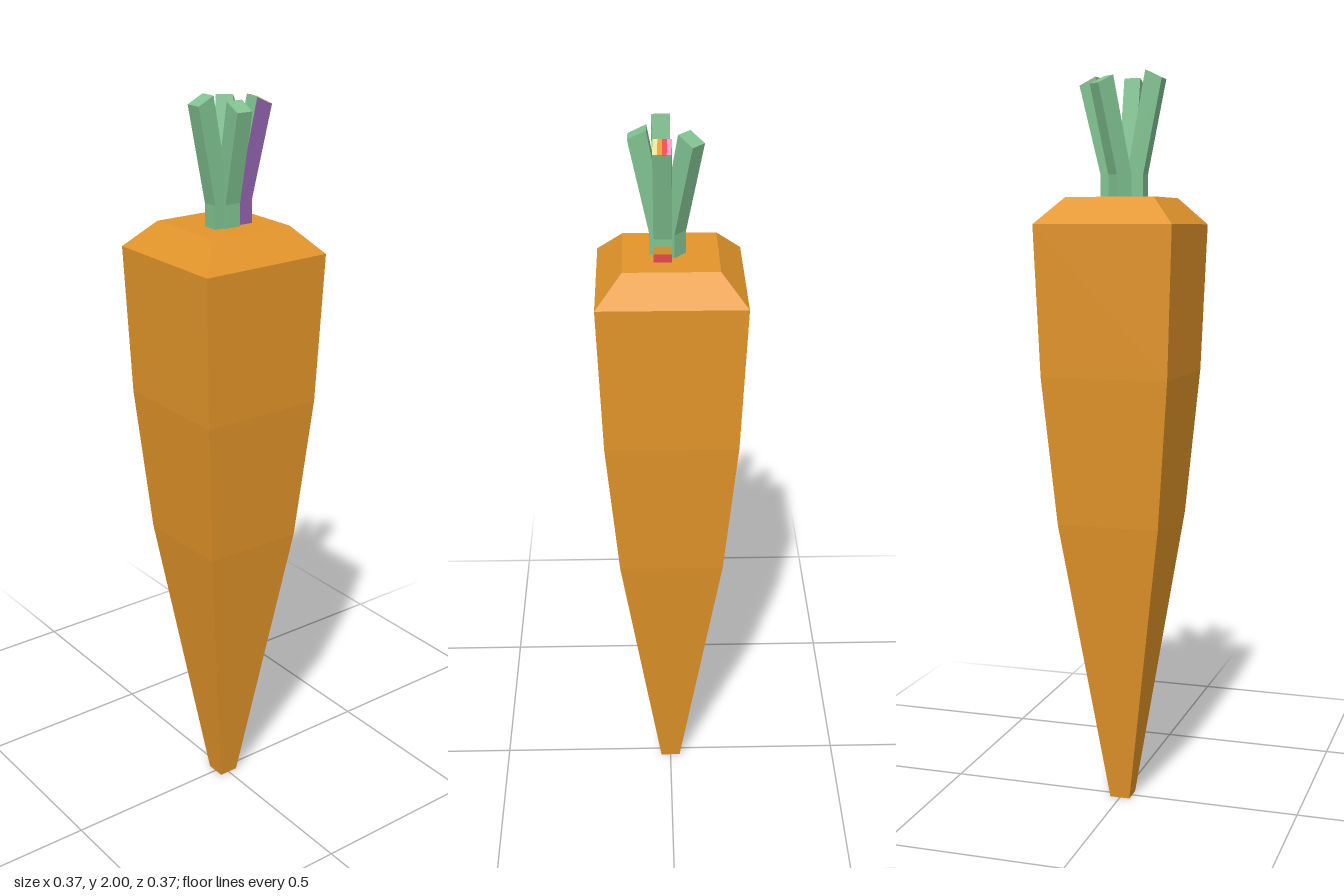
import * as THREE from 'three';

const mat = (name, color) => {
  const m = new THREE.MeshStandardMaterial({ color });
  m.name = name;
  return m;
};

// Split the faces so every facet is flat
const flat = (geometry) => {
  const g = geometry.toNonIndexed();
  g.computeVertexNormals();
  return g;
};

const part = (name, geometry, material) => {
  const mesh = new THREE.Mesh(flat(geometry), material);
  mesh.name = name;
  return mesh;
};

const WIDTH = 0.045, CROWN = 1.67, BEND = 1.73;

// Box in unit coordinates (x across, y along, z outward), moved by a rule
function mappedBox(x0, x1, y0, y1, z0, z1, rule) {
  const g = new THREE.BoxGeometry(x1 - x0, y1 - y0, z1 - z0);
  g.translate((x0 + x1) / 2, (y0 + y1) / 2, (z0 + z1) / 2);
  const p = g.attributes.position;
  for (let i = 0; i < p.count; i++) {
    p.setXYZ(i, ...rule(p.getX(i), p.getY(i), p.getZ(i)));
  }
  return g;
}

// Short upright foot
const footRule = (x, y, z) => [x * WIDTH, CROWN - 0.01 + y * (BEND - CROWN + 0.01), z * WIDTH];

// Shoot leaning outward, its tip sloping down on the outside
const shootRule = (lean, tip) => (x, y, z) =>
  [x * WIDTH, BEND + y * (tip - 0.011 - 0.022 * z - BEND), z * WIDTH + y * lean];

export function createModel() {
  const model = new THREE.Group();
  model.name = 'carrot';

  const orange = mat('carrot orange', 0xe3952a);
  const green = mat('stem green', 0x80c290);
  const purple = mat('purple', 0x8e62ab);
  const pink = mat('pink', 0xe598bf);
  const red = mat('red', 0xe84850);
  const amber = mat('amber', 0xf0a030);
  const yellow = mat('pale yellow', 0xe8e092);

  // Square tapering root with a bevelled crown
  const profile = [
    [0, 0], [0.028, 0], [0.14, 0.8], [0.173, 1.2], [0.187, 1.6], [0.12, CROWN], [0, CROWN],
  ].map(([half, y]) => new THREE.Vector2(half * Math.SQRT2, y));
  model.add(part('root', new THREE.LatheGeometry(profile, 4, Math.PI / 4), orange));

  // Four stems: foot position, outward yaw, lean and tip height
  const stems = [
    { name: 'frontStem', x: 0.022, z: 0.034, yaw: 0, lean: 0.05, tip: 2.0 },
    { name: 'leftStem', x: 0.03, z: 0.008, yaw: Math.PI / 2 - 0.03, lean: 0.05, tip: 1.985 },
    { name: 'backStem', x: 0.019, z: -0.038, yaw: Math.PI - 0.04, lean: 0.059, tip: 1.985, painted: true },
    { name: 'rightStem', x: -0.007, z: -0.006, yaw: -2.3, lean: 0.056, tip: 1.985 },
  ];

  for (const s of stems) {
    const stem = new THREE.Group();
    stem.name = s.name;
    stem.position.set(s.x, 0, s.z);
    stem.rotation.y = s.yaw;
    const rule = shootRule(s.lean, s.tip);
    const skin = s.painted ? [green, purple, green, green, green, green] : green;
    stem.add(part('foot', mappedBox(-0.5, 0.5, 0, 1, -0.5, 0.5, footRule), skin));
    stem.add(part('shoot', mappedBox(-0.5, 0.5, 0, 1, -0.5, 0.5, rule), skin));

    if (s.painted) {
      // Striped tip
      [yellow, amber, red, pink].forEach((m, i) => {
        const x = -0.5 + i / 4;
        stem.add(part('tipStripe', mappedBox(x, x + 0.25, 0.995, 1.004, -0.5, 0.5, rule), m));
      });
      // Bands across the outside of the foot
      [red, amber].forEach((m, i) => {
        const y = 0.14 + i * 0.3;
        stem.add(part('footBand', mappedBox(-0.5, 0.5, y, y + 0.3, 0.48, 0.52, footRule), m));
      });
    }
    model.add(stem);
  }
  return model;
}
